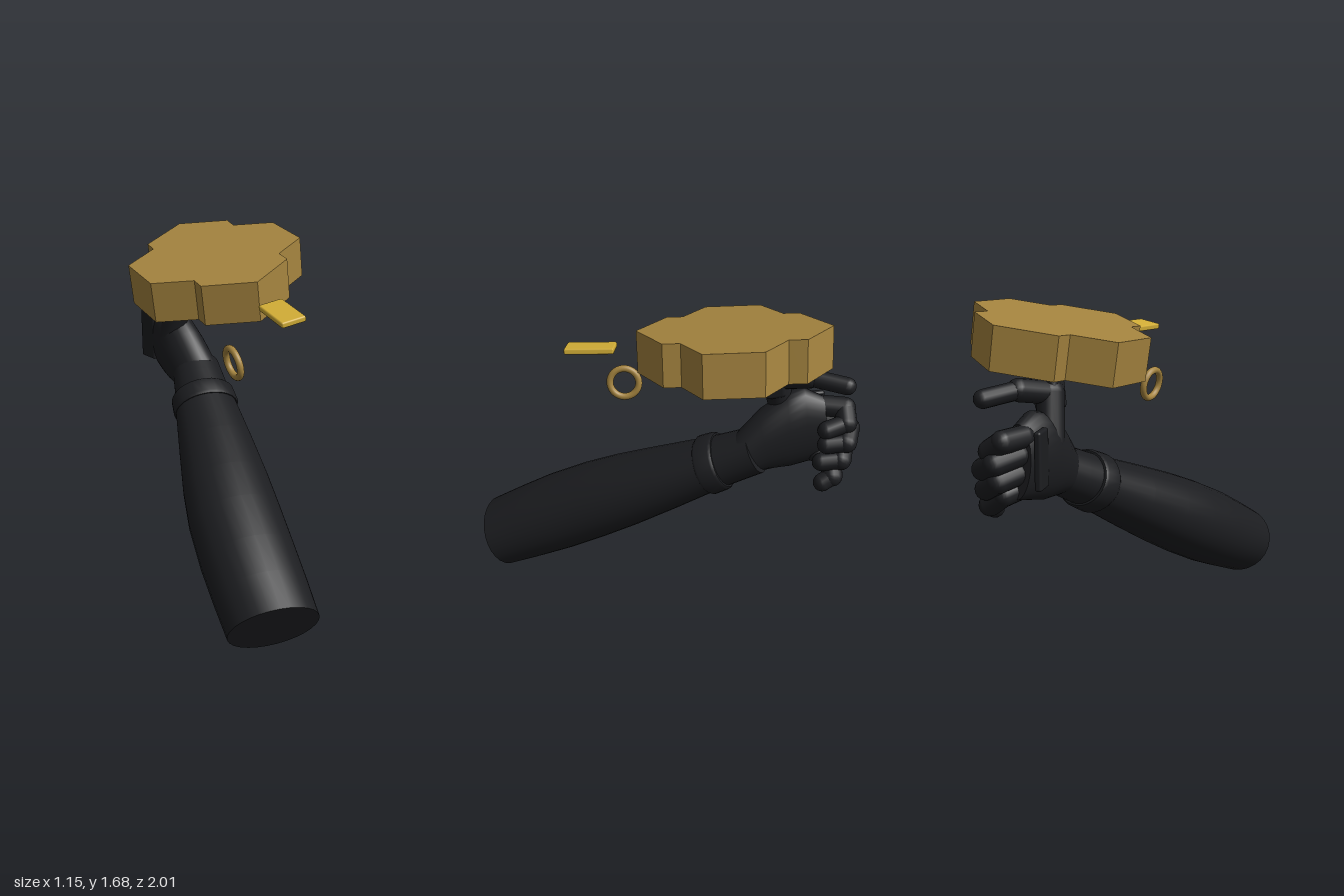
import * as THREE from 'three';
import { RoundedBoxGeometry } from 'three/addons/geometries/RoundedBoxGeometry.js';

const V = (x, y, z) => new THREE.Vector3(x, y, z);
const material = (color) => new THREE.MeshStandardMaterial({ color });

// Closed loft through elliptical sections: { c: centre, a, b: half-axis vectors }, with a x b along the path
function loft(sections, sides = 28) {
  const pos = [], index = [];
  const addRing = (s) => {
    const start = pos.length / 3;
    for (let j = 0; j < sides; j++) {
      const t = (j / sides) * Math.PI * 2;
      const p = s.c.clone().addScaledVector(s.a, Math.cos(t)).addScaledVector(s.b, Math.sin(t));
      pos.push(p.x, p.y, p.z);
    }
    return start;
  };
  const rings = sections.map(addRing);
  for (let i = 0; i < rings.length - 1; i++) {
    for (let j = 0; j < sides; j++) {
      const k = (j + 1) % sides, p = rings[i], q = rings[i + 1];
      index.push(p + j, p + k, q + j, p + k, q + k, q + j);
    }
  }
  // end caps with their own vertices, so the rims stay sharp
  [sections[0], sections[sections.length - 1]].forEach((s, end) => {
    const r = addRing(s), mid = pos.length / 3;
    pos.push(s.c.x, s.c.y, s.c.z);
    for (let j = 0; j < sides; j++) {
      const k = (j + 1) % sides;
      if (end) index.push(mid, r + j, r + k);
      else index.push(mid, r + k, r + j);
    }
  });
  const g = new THREE.BufferGeometry();
  g.setAttribute('position', new THREE.Float32BufferAttribute(pos, 3));
  g.setIndex(index);
  g.computeVertexNormals();
  return g;
}

export function createModel() {
  const model = new THREE.Group();
  const dark = material(0x1c1d20), bronze = material(0xa5843f), gold = material(0xd4af37);
  const add = (name, geometry, mat, parent = model) => {
    const m = new THREE.Mesh(geometry, mat);
    m.name = name;
    parent.add(m);
    return m;
  };

  // Forearm axes: elbow to wrist, sideways and upward
  const elbow = V(-0.36, 0.165, 0.9), wrist = V(-0.005, 0.8, -0.28);
  const dir = wrist.clone().sub(elbow).normalize();
  const side = V(-dir.z, 0, dir.x).normalize();
  const up = side.clone().cross(dir);
  const armSection = ([t, high, wide, shift = 0]) => ({
    c: elbow.clone().lerp(wrist, t).addScaledVector(side, shift),
    a: up.clone().multiplyScalar(high),
    b: side.clone().multiplyScalar(wide),
  });

  add('forearm', loft([
    [0, 0.19, 0.228], [0.14, 0.203, 0.236, -0.01], [0.28, 0.212, 0.24, -0.02], [0.45, 0.208, 0.238, -0.025],
    [0.6, 0.195, 0.225, -0.02], [0.78, 0.17, 0.198, -0.01], [0.98, 0.138, 0.165],
  ].map(armSection)), dark);
  add('wristCuff', loft([
    [0.955, 0.148, 0.172], [0.965, 0.157, 0.18], [1.02, 0.152, 0.174], [1.03, 0.142, 0.165],
  ].map(armSection)), dark);
  add('gloveSleeve', loft([[1.0, 0.136, 0.155], [1.09, 0.128, 0.142, 0.005], [1.17, 0.122, 0.13, 0.01]].map(armSection)), dark);

  // Hand
  const hand = new THREE.Group();
  hand.name = 'hand';
  model.add(hand);
  add('palm', loft([
    { c: V(0.045, 0.89, -0.44), a: V(0, 0.105, 0.065), b: V(0.115, 0, 0.03) },
    { c: V(0.035, 0.96, -0.54), a: V(0, 0.165, 0.05), b: V(0.12, 0, 0.02) },
    { c: V(0.035, 1.01, -0.64), a: V(0, 0.21, 0.02), b: V(0.115, 0, 0) },
    { c: V(0.035, 1.035, -0.73), a: V(0, 0.21, 0.02), b: V(0.1, 0, 0) },
    { c: V(0.045, 1.025, -0.83), a: V(0, 0.175, 0.02), b: V(0.075, 0, 0) },
  ]), dark, hand);

  const capsule = (name, a, b, r) => {
    const d = b.clone().sub(a);
    const m = add(name, new THREE.CapsuleGeometry(r, d.length(), 6, 14), dark, hand);
    m.position.copy(a).addScaledVector(d, 0.5);
    m.quaternion.setFromUnitVectors(V(0, 1, 0), d.normalize());
  };
  const digit = (name, points, radii) => {
    const p = points.map((q) => V(...q));
    for (let i = 0; i < p.length - 1; i++) capsule(name, p[i], p[i + 1], radii[i]);
  };

  // Fingers curl round towards +x; the thumb lies above them
  const fingerRadii = [0.056, 0.054, 0.048];
  digit('indexFinger', [[0.03, 1.14, -0.8], [0.06, 1.14, -0.92], [0.13, 1.09, -0.92], [0.15, 1.06, -0.82]], fingerRadii);
  digit('middleFinger', [[0.04, 1.06, -0.82], [0.09, 1.04, -0.945], [0.17, 1.0, -0.92], [0.17, 0.99, -0.82]], fingerRadii);
  digit('ringFinger', [[0.05, 0.97, -0.82], [0.09, 0.95, -0.92], [0.17, 0.9, -0.9], [0.17, 0.89, -0.8]], fingerRadii);
  digit('littleFinger', [[0.06, 0.89, -0.79], [0.1, 0.87, -0.86], [0.18, 0.81, -0.86], [0.19, 0.78, -0.81]], fingerRadii);
  digit('thumb', [[-0.005, 1.08, -0.62], [0.03, 1.3, -0.56], [0.1, 1.335, -0.72], [0.175, 1.32, -0.895]], [0.068, 0.056, 0.045]);

  const joint = add('thumbJoint', new RoundedBoxGeometry(0.13, 0.16, 0.11, 3, 0.025), dark, hand);
  joint.position.set(0.04, 1.295, -0.55);
  joint.rotation.set(0.15, 0, -0.2);
  const guard = add('knuckleGuard', new RoundedBoxGeometry(0.035, 0.28, 0.11, 2, 0.012), dark, hand);
  guard.position.set(-0.055, 1.04, -0.78);
  guard.rotation.y = 0.2;

  // Floating four-lobed plate: outline as x, z of its upper face
  const outline = [
    [0.17, -0.805], [0.385, -0.645], [0.37, -0.56], [0.542, -0.43], [0.52, -0.15], [0.325, -0.065], [0.315, 0.02],
    [0.055, 0.135], [-0.17, -0.025], [-0.16, -0.105], [-0.335, -0.235], [-0.31, -0.515], [-0.11, -0.605], [-0.1, -0.685],
  ].map(([x, z]) => new THREE.Vector2(x, -z));
  const thick = 0.215;
  const plate = new THREE.ExtrudeGeometry(new THREE.Shape(outline), { depth: thick, bevelEnabled: false });
  plate.rotateX(-Math.PI / 2).translate(0, -thick, 0);
  // tilt of the plate
  plate.applyMatrix4(new THREE.Matrix4().makeBasis(V(1, 0.147, 0), V(-0.126, 0.986, 0.03), V(0, -0.046, 1)).setPosition(0, 1.578, 0));
  add('lobedPlate', plate, bronze);

  // Floating ring and tag
  const ring = add('ring', new THREE.TorusGeometry(0.075, 0.018, 14, 40).rotateY(Math.PI / 2), bronze);
  ring.position.set(-0.125, 1.215, 0.195);
  ring.rotation.set(0, -0.11, 0.16);
  const tag = add('tag', new RoundedBoxGeometry(0.13, 0.03, 0.245, 1, 0.008), gold);
  tag.position.set(0.045, 1.488, 0.357);
  tag.rotation.set(0.05, -0.13, 0.145);

  return model;
}
